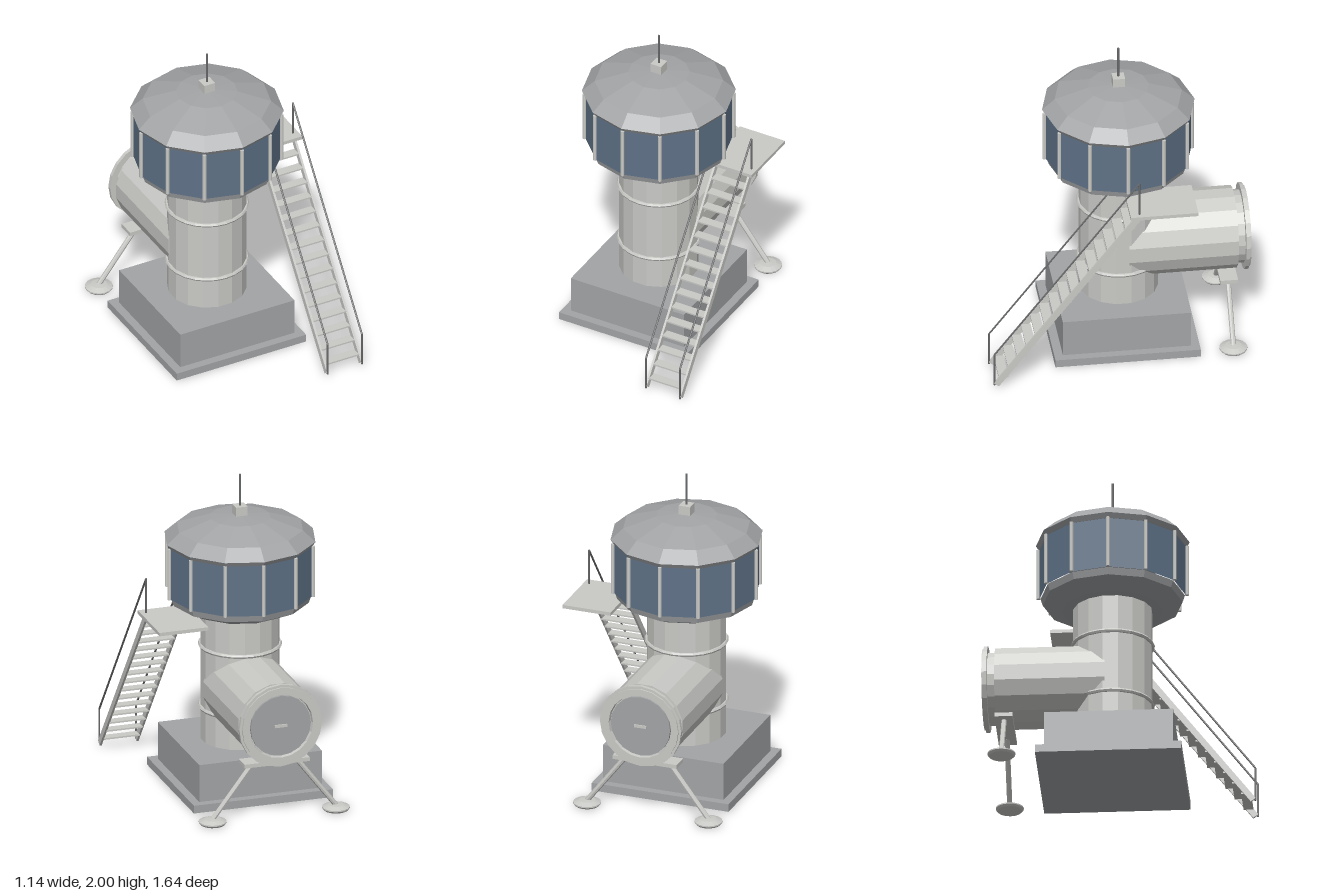
import * as THREE from 'three';

const material = (name, color) => new THREE.MeshStandardMaterial({ name, color, flatShading: true });

export function createModel() {
  const root = new THREE.Group();
  root.name = 'controlTower';
  const pale = material('paleMetal', 0xc9c9c6);
  const grey = material('greyPanel', 0xa2a4a6);
  const glass = material('blueGlass', 0x5f7287);
  const dark = material('darkRail', 0x68696a);

  const add = (parent, name, geometry, mat, x = 0, y = 0, z = 0) => {
    const mesh = new THREE.Mesh(geometry, mat);
    mesh.name = name;
    mesh.position.set(x, y, z);
    parent.add(mesh);
    return mesh;
  };
  const box = (parent, name, w, h, d, mat, x, y, z) =>
    add(parent, name, new THREE.BoxGeometry(w, h, d), mat, x, y, z);
  // Round bar between two points
  const bar = (parent, name, a, b, r, mat, sides = 8) => {
    const from = new THREE.Vector3(...a), to = new THREE.Vector3(...b);
    const mesh = add(parent, name, new THREE.CylinderGeometry(r, r, from.distanceTo(to), sides), mat);
    mesh.position.copy(from).add(to).multiplyScalar(0.5);
    mesh.quaternion.setFromUnitVectors(new THREE.Vector3(0, 1, 0), to.sub(from).normalize());
    return mesh;
  };
  const lathe = (points, sides) =>
    new THREE.LatheGeometry(points.map(p => new THREE.Vector2(...p)), sides);

  // Everything on the main axis sits in this group
  const tower = new THREE.Group();
  tower.name = 'tower';
  tower.position.set(-0.09, 0, -0.035);
  root.add(tower);

  // Stepped base
  box(tower, 'basePlate', 0.895, 0.05, 0.895, grey, 0, 0.025, 0);
  box(tower, 'baseBlock', 0.79, 0.24, 0.79, grey, 0, 0.17, 0);

  // Column and its two bands
  add(tower, 'column', new THREE.CylinderGeometry(0.244, 0.244, 0.87, 16).rotateY(Math.PI / 16), pale, 0, 0.715, 0);
  for (const y of [0.5, 0.9])
    add(tower, 'columnBand', new THREE.TorusGeometry(0.245, 0.013, 6, 24).rotateX(Math.PI / 2), pale, 0, y, 0);

  // Twelve-sided cabin: bowl, glazing, roof, mullions
  add(tower, 'cabinBowl', lathe([[0, 1.137], [0.31, 1.137], [0.428, 1.192], [0.442, 1.235], [0, 1.235]], 12), grey);
  add(tower, 'cabinWindows', new THREE.CylinderGeometry(0.448, 0.448, 0.33, 12, 1, true), glass, 0, 1.4, 0);
  add(tower, 'cabinRoof', lathe([[0, 1.562], [0.45, 1.562], [0.47, 1.592], [0.392, 1.662], [0.188, 1.728], [0, 1.743]], 12), grey);
  for (let i = 0; i < 12; i++) {
    const a = i * Math.PI / 6;
    add(tower, 'windowMullion', new THREE.CylinderGeometry(0.012, 0.012, 0.33, 8), pale,
      0.455 * Math.sin(a), 1.4, 0.455 * Math.cos(a));
  }

  // Antenna
  box(tower, 'antennaBox', 0.075, 0.065, 0.075, pale, 0, 1.765, 0);
  add(tower, 'antenna', new THREE.CylinderGeometry(0.007, 0.007, 0.21, 8), dark, 0, 1.895, 0);

  // Horizontal tunnel towards the back; its local +y runs along -z
  const tunnel = new THREE.Group();
  tunnel.name = 'tunnel';
  tunnel.position.set(-0.09, 0.637, 0);
  tunnel.rotation.x = -Math.PI / 2;
  root.add(tunnel);
  add(tunnel, 'tunnelTube', new THREE.CylinderGeometry(0.253, 0.253, 0.675, 16).rotateY(Math.PI / 16), pale, 0, 0.4075, 0);
  add(tunnel, 'tunnelNeck', new THREE.CylinderGeometry(0.225, 0.225, 0.055, 20), pale, 0, 0.77, 0);
  add(tunnel, 'hatchFlange', lathe([[0.2, 0.79], [0.266, 0.79], [0.266, 0.813], [0.25, 0.813],
    [0.25, 0.823], [0.205, 0.823], [0.2, 0.79]], 20), pale);
  add(tunnel, 'hatchDoor', new THREE.CylinderGeometry(0.194, 0.194, 0.025, 20), grey, 0, 0.802, 0);
  box(tunnel, 'hatchHandle', 0.08, 0.008, 0.018, pale, 0, 0.818, 0);

  // Tunnel support with two splayed legs
  const support = new THREE.Group();
  support.name = 'tunnelSupport';
  support.position.set(-0.09, 0, -0.69);
  root.add(support);
  box(support, 'supportPlate', 0.42, 0.025, 0.11, pale, 0, 0.37, 0);
  for (const s of [-1, 1]) {
    bar(support, 'supportLeg', [s * 0.14, 0.365, 0], [s * 0.397, 0.03, 0], 0.016, pale);
    add(support, 'supportFoot', lathe([[0, 0], [0.075, 0], [0.086, 0.012], [0.086, 0.02], [0.05, 0.034], [0, 0.038]], 16), pale, s * 0.397, 0, 0);
  }

  // Landing and stairs
  const stairs = new THREE.Group();
  stairs.name = 'stairs';
  root.add(stairs);
  box(stairs, 'landing', 0.315, 0.022, 0.415, pale, 0.4075, 1.176, -0.232);
  const low = [0.023, 0.8], high = [1.16, -0.075]; // [y, z] ends of the stringers
  const dy = high[0] - low[0], dz = high[1] - low[1];
  for (const x of [0.293, 0.53]) {
    const stringer = box(stairs, 'stringer', 0.014, 0.038, Math.hypot(dy, dz), pale,
      x, (low[0] + high[0]) / 2, (low[1] + high[1]) / 2);
    stringer.rotation.x = Math.atan2(dy, -dz);
    bar(stairs, 'lowerRailPost', [x, 0.02, 0.812], [x, 0.24, 0.812], 0.006, dark, 6);
    bar(stairs, 'upperRailPost', [x, 1.17, -0.082], [x, 1.41, -0.082], 0.006, dark, 6);
    bar(stairs, 'handrail', [x, 0.24, 0.812], [x, 1.41, -0.082], 0.006, dark, 6);
  }
  for (let i = 0; i < 16; i++) {
    const y = 0.073 + i * 0.0723;
    box(stairs, 'tread', 0.23, 0.01, 0.06, pale, 0.4115, y, low[1] + (y - low[0]) * dz / dy - 0.006);
  }
  return root;
}
